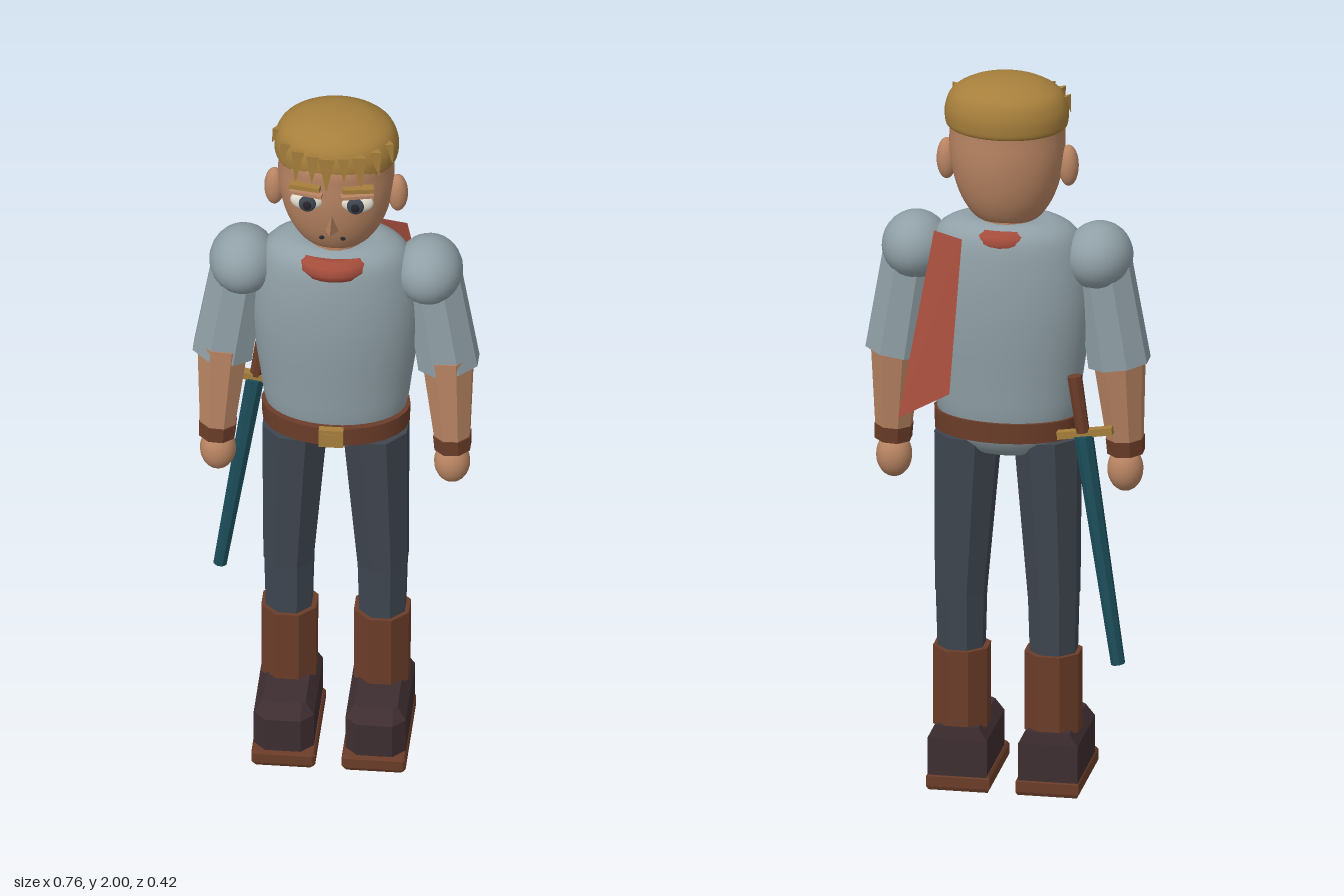
import * as THREE from 'three';
import { ConvexGeometry } from 'three/addons/geometries/ConvexGeometry.js';

const V = (x, y, z) => new THREE.Vector3(x, y, z);

export function createModel() {
  const root = new THREE.Group();
  root.name = 'youngKnight';

  const colours = {
    skin: 0xb98563, armour: 0x90a0a6, hair: 0xa67f3c, trousers: 0x3f4650, boot: 0x3e2e31,
    leather: 0x6b3d29, scarf: 0xa54d3c, scabbard: 0x1c4e5a, eyeWhite: 0xe6dfd0, dark: 0x25252b,
  };
  const mats = {};
  for (const [name, color] of Object.entries(colours)) {
    mats[name] = new THREE.MeshStandardMaterial({ color });
    mats[name].name = name;
  }
  mats.scarf.side = THREE.DoubleSide;

  const add = (name, geo, mat, parent = root) => {
    const m = new THREE.Mesh(geo, mats[mat]);
    m.name = name;
    parent.add(m);
    return m;
  };
  const flat = (geo) => {
    const g = geo.toNonIndexed();
    g.computeVertexNormals();
    return g;
  };
  // Faceted tapered rod from a (radius ra) down to b (radius rb)
  const rod = (name, a, b, ra, rb, mat, sides = 8, parent = root, depth = 1) => {
    const geo = new THREE.CylinderGeometry(ra, rb, a.distanceTo(b), sides);
    geo.rotateY(Math.PI / sides).scale(1, 1, depth);
    const m = add(name, flat(geo), mat, parent);
    m.position.copy(a).add(b).multiplyScalar(0.5);
    m.quaternion.setFromUnitVectors(V(0, 1, 0), a.clone().sub(b).normalize());
    return m;
  };
  const ball = (name, p, r, mat, parent = root) => {
    const m = add(name, new THREE.SphereGeometry(1, 24, 16), mat, parent);
    m.position.set(...p);
    m.scale.set(...r);
    return m;
  };
  const box = (name, p, s, mat, parent = root) => {
    const m = add(name, new THREE.BoxGeometry(...s), mat, parent);
    m.position.set(...p);
    return m;
  };
  // Smooth body of revolution, squashed front to back
  const turned = (name, pts, depth, z, mat) => {
    const curve = new THREE.SplineCurve(pts.map((p) => new THREE.Vector2(...p)));
    const path = curve.getPoints(40);
    path.forEach((p) => { p.x = Math.max(p.x, 0); });
    const m = add(name, new THREE.LatheGeometry(path, 40), mat);
    m.scale.z = depth;
    m.position.z = z;
    return m;
  };
  // Footwear block from levels [y, halfWidth, front, back, toe chamfer]
  const footBlock = (name, levels, x, mat, parent) => {
    const pts = [];
    for (const [y, w, f, b, c] of levels) {
      for (const s of [-1, 1]) {
        pts.push(V(x + s * w, y, b), V(x + s * w, y, f - c), V(x + s * (w - c), y, f));
      }
    }
    return add(name, new ConvexGeometry(pts), mat, parent);
  };

  // Torso armour, belt and buckle
  turned('breastplate', [[0, 0.935], [0.1, 0.95], [0.155, 0.99], [0.187, 1.06], [0.202, 1.16], [0.218, 1.28],
    [0.223, 1.38], [0.214, 1.48], [0.188, 1.565], [0.13, 1.6], [0.07, 1.6]], 0.645, -0.015, 'armour');
  const belt = add('belt', new THREE.CylinderGeometry(0.198, 0.196, 0.055, 24), 'leather');
  belt.scale.z = 0.68;
  belt.position.set(0, 1.032, -0.01);
  box('buckle', [0, 1.034, 0.125], [0.065, 0.054, 0.02], 'hair');
  box('buckleInset', [0, 1.034, 0.135], [0.038, 0.03, 0.004], 'hair');

  // Neck, scarf ring and trailing tail
  rod('neck', V(0, 1.65, -0.015), V(0, 1.52, -0.015), 0.075, 0.08, 'skin', 16);
  const ring = add('scarfRing', new THREE.TorusGeometry(0.1, 0.033, 10, 28).rotateX(Math.PI / 2), 'scarf');
  ring.scale.set(0.95, 1, 1.02);
  ring.position.set(0, 1.56, -0.008);
  const tail = new THREE.BufferGeometry();
  tail.setAttribute('position', new THREE.Float32BufferAttribute([
    0.1, 1.57, -0.137, 0.18, 1.58, -0.108, 0.26, 1.08, -0.2, 0.12, 1.16, -0.212], 3));
  tail.setIndex([0, 1, 2, 0, 2, 3]);
  add('scarfTail', flat(tail), 'scarf');

  // Head and cap of hair
  turned('head', [[0, 1.585], [0.075, 1.6], [0.112, 1.64], [0.138, 1.7], [0.152, 1.77], [0.154, 1.84],
    [0.148, 1.9], [0.09, 1.95], [0, 1.97]], 0.865, -0.017, 'skin');
  turned('hairCap', [[0.13, 1.858], [0.158, 1.862], [0.165, 1.885], [0.163, 1.92], [0.145, 1.957],
    [0.1, 1.984], [0.05, 1.996], [0, 2.0]], 0.84, -0.025, 'hair');

  // Fringe of pointed locks: angle from the front, height of the tip, width
  const locks = [[-1.45, 1.9, 0.013], [-0.95, 1.88, 0.017], [-0.62, 1.845, 0.02], [-0.32, 1.86, 0.021],
    [-0.08, 1.84, 0.026], [0.2, 1.87, 0.018], [0.47, 1.845, 0.023], [0.8, 1.87, 0.019], [1.15, 1.885, 0.016]];
  for (const [a, tip, w] of locks) {
    const at = (r, y) => V(Math.sin(a) * r, y, Math.cos(a) * r * 0.84 - 0.022);
    rod('hairLock', at(0.158, 1.945), at(0.17, tip), w, 0.001, 'hair', 3);
  }

  // Nose and mouth
  add('nose', new ConvexGeometry([V(0, 1.765, 0.1), V(-0.022, 1.69, 0.085), V(0.022, 1.69, 0.085),
    V(0, 1.725, 0.165)]), 'skin');
  for (const s of [-1, 1]) ball('mouthCorner', [s * 0.028, 1.668, 0.094], [0.007, 0.005, 0.005], 'dark');

  for (const s of [-1, 1]) {
    const side = s > 0 ? 'left' : 'right';
    const group = (n) => {
      const g = new THREE.Group();
      g.name = side + n;
      root.add(g);
      return g;
    };

    // Ear, eye and brow
    const face = group('Face');
    ball('ear', [s * 0.164, 1.752, -0.012], [0.027, 0.057, 0.027], 'skin', face);
    ball('eyeball', [s * 0.066, 1.798, 0.104], [0.045, 0.03, 0.021], 'eyeWhite', face);
    ball('iris', [s * 0.064, 1.797, 0.121], [0.023, 0.025, 0.011], 'trousers', face);
    ball('pupil', [s * 0.064, 1.797, 0.129], [0.012, 0.014, 0.006], 'dark', face);
    const lid = box('eyelid', [s * 0.067, 1.826, 0.111], [0.088, 0.009, 0.026], 'skin', face);
    const brow = box('brow', [s * 0.07, 1.845, 0.11], [0.083, 0.013, 0.024], 'hair', face);
    lid.rotation.y = brow.rotation.y = s * 0.22;
    brow.rotation.z = -s * 0.05;

    // Arm: shoulder cap, sleeve, forearm, cuff and hand
    const arm = group('Arm');
    ball('shoulder', [s * 0.247, 1.505, -0.013], [0.09, 0.092, 0.102], 'armour', arm);
    rod('sleeve', V(s * 0.252, 1.52, -0.015), V(s * 0.3, 1.205, -0.007), 0.079, 0.086, 'armour', 8, arm, 0.86);
    rod('forearm', V(s * 0.298, 1.24, -0.004), V(s * 0.312, 0.97, 0.016), 0.073, 0.049, 'skin', 8, arm);
    rod('cuff', V(s * 0.311, 0.99, 0.016), V(s * 0.313, 0.947, 0.018), 0.053, 0.051, 'leather', 8, arm);
    ball('hand', [s * 0.311, 0.9, 0.018], [0.048, 0.062, 0.046], 'skin', arm);

    // Leg: thigh, shin, boot shaft, boot and sole
    const leg = group('Leg');
    rod('thigh', V(s * 0.107, 0.99, -0.005), V(s * 0.125, 0.545, -0.012), 0.092, 0.071, 'trousers', 8, leg, 1.06);
    rod('shin', V(s * 0.124, 0.55, -0.012), V(s * 0.124, 0.37, -0.01), 0.07, 0.065, 'trousers', 8, leg);
    rod('bootShaft', V(s * 0.123, 0.39, -0.011), V(s * 0.123, 0.17, -0.011), 0.079, 0.078, 'leather', 8, leg);
    footBlock('boot', [[0.04, 0.08, 0.2, -0.088, 0.033], [0.145, 0.08, 0.2, -0.088, 0.033],
      [0.18, 0.057, 0.165, -0.085, 0.01]], s * 0.122, 'boot', leg);
    footBlock('sole', [[0, 0.08, 0.205, -0.086, 0.008], [0.01, 0.085, 0.21, -0.09, 0.008],
      [0.038, 0.085, 0.21, -0.09, 0.008], [0.046, 0.08, 0.205, -0.086, 0.008]], s * 0.12, 'leather', leg);
  }

  // Sheathed sword hanging behind the right hip
  const sword = new THREE.Group();
  sword.name = 'sword';
  root.add(sword);
  rod('scabbard', V(-0.225, 1.035, -0.122), V(-0.32, 0.405, -0.136), 0.026, 0.019, 'scabbard', 8, sword);
  rod('grip', V(-0.2, 1.2, -0.119), V(-0.223, 1.045, -0.122), 0.02, 0.018, 'leather', 8, sword);
  const guard = box('crossguard', [-0.228, 1.042, -0.118], [0.15, 0.02, 0.024], 'hair', sword);
  guard.rotation.z = -0.15;

  return root;
}
